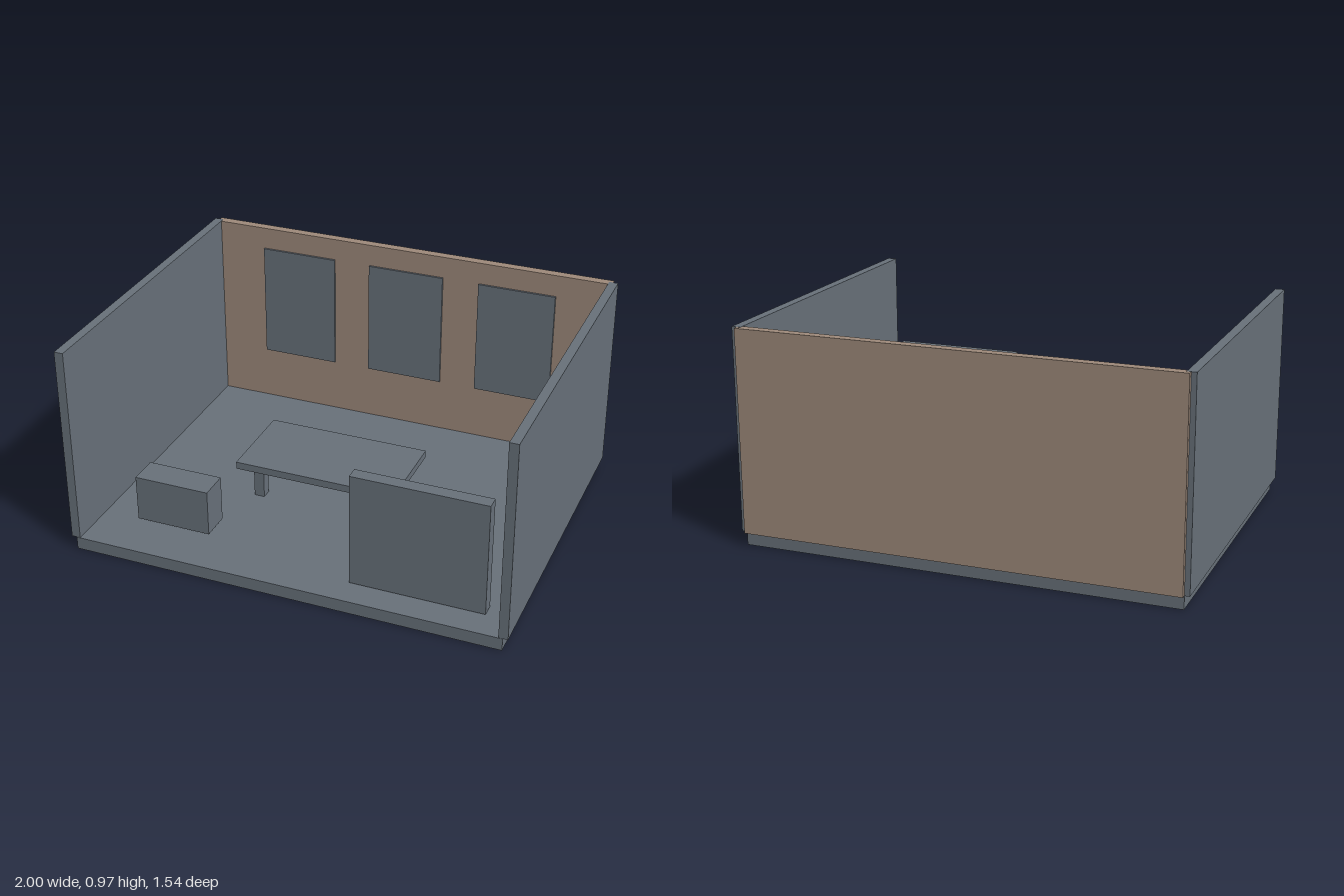
import * as THREE from 'three';

export function createModel() {
  const model = new THREE.Group();
  const grey = new THREE.MeshStandardMaterial({ color: 0x68717a });
  grey.name = 'slate grey';
  const brown = new THREE.MeshStandardMaterial({ color: 0x9e8a7b });
  brown.name = 'warm brown';

  // Box given by its extents along each axis
  function box(name, [x0, x1], [y0, y1], [z0, z1], material = grey, parent = model) {
    const mesh = new THREE.Mesh(new THREE.BoxGeometry(x1 - x0, y1 - y0, z1 - z0), material);
    mesh.position.set((x0 + x1) / 2, (y0 + y1) / 2, (z0 + z1) / 2);
    mesh.name = name;
    parent.add(mesh);
    return mesh;
  }

  // Room shell
  box('floor', [-0.977, 0.977], [0, 0.058], [-0.75, 0.77]);
  box('backWall', [-0.977, 0.977], [0.06, 0.97], [-0.773, -0.73], brown);
  box('leftWall', [0.959, 1], [0.06, 0.971], [-0.752, 0.771]);
  box('rightWall', [-1, -0.959], [0.06, 0.971], [-0.752, 0.771]);

  // Panels hung on the back wall
  for (const x of [-0.546, -0.002, 0.541]) {
    box('wallPanel', [x - 0.184, x + 0.184], [0.318, 0.866], [-0.732, -0.72]);
  }

  // Table with four legs
  const table = new THREE.Group();
  table.name = 'table';
  model.add(table);
  box('tableTop', [-0.46, 0.3], [0.213, 0.247], [-0.2, 0.213], grey, table);
  for (const x of [-0.373, 0.213]) {
    for (const z of [-0.125, 0.137]) {
      box('tableLeg', [x - 0.024, x + 0.024], [0.058, 0.214], [z - 0.024, z + 0.024], grey, table);
    }
  }

  // Chest at the front of the room
  box('chest', [-0.785, -0.437], [0.074, 0.288], [0.417, 0.555]);

  // Standing board with three notes on its rear face
  const board = new THREE.Group();
  board.name = 'noticeBoard';
  model.add(board);
  box('boardPanel', [0.262, 0.865], [0.062, 0.588], [0.585, 0.645], grey, board);
  for (const x of [0.39, 0.584, 0.76]) {
    box('boardNote', [x - 0.07, x + 0.07], [0.333, 0.46], [0.571, 0.586], grey, board);
  }

  return model;
}
